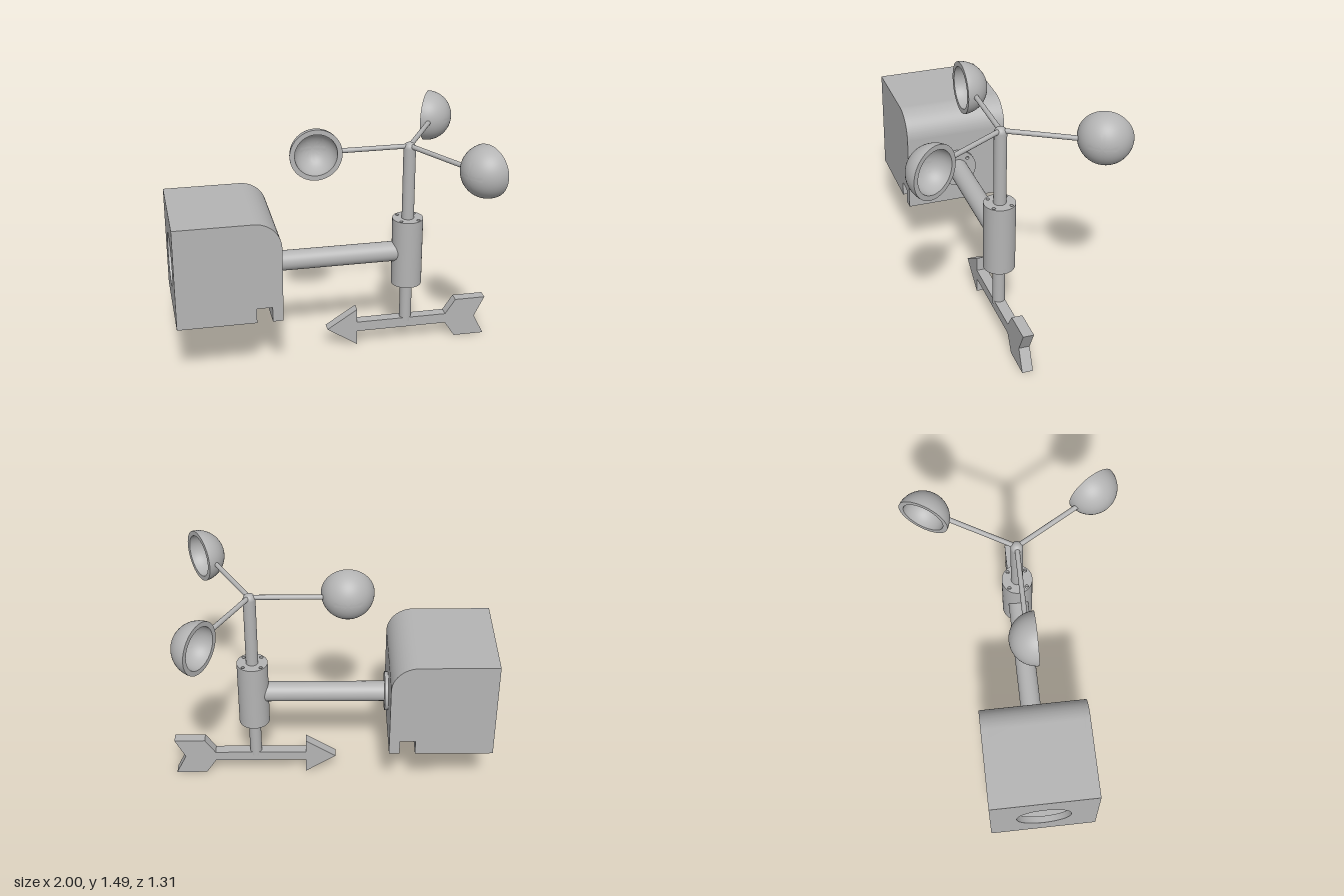
import * as THREE from 'three';
import { toCreasedNormals } from 'three/addons/utils/BufferGeometryUtils.js';

export function createModel() {
  const model = new THREE.Group();
  model.name = 'windStation';
  const grey = new THREE.MeshStandardMaterial({ color: 0xb4b4b4 });
  grey.name = 'grey';
  const station = new THREE.Group();
  station.name = 'station';
  station.position.z = 0.014;
  model.add(station);

  const add = (name, geometry, x = 0, y = 0, z = 0, parent = station) => {
    const mesh = new THREE.Mesh(geometry, grey);
    mesh.name = name;
    mesh.position.set(x, y, z);
    parent.add(mesh);
    return mesh;
  };
  const extrude = (shape, depth) => toCreasedNormals(
    new THREE.ExtrudeGeometry(shape, { depth, bevelEnabled: false, curveSegments: 24 }), 0.5);
  const polygon = (pts) => new THREE.Shape(pts.map(([x, y]) => new THREE.Vector2(x, y)));
  const circleHole = (x, y, r) => new THREE.Path().absarc(x, y, r, 0, Math.PI * 2, true);

  // Disc with four diagonal bolt holes, from z = 0 to depth
  const boltedDisc = (radius, boltCircle, depth) => {
    const shape = new THREE.Shape().absarc(0, 0, radius, 0, Math.PI * 2, false);
    for (let i = 0; i < 4; i++) {
      const a = Math.PI / 4 + i * Math.PI / 2;
      shape.holes.push(circleHole(boltCircle * Math.cos(a), boltCircle * Math.sin(a), 0.011));
    }
    return extrude(shape, depth);
  };

  // Housing: hollow box with a rounded top edge and a groove below
  const wall = 0.04, half = 0.323, left = -1 + wall, right = -0.36, low = 0.39, high = 1.035;
  const outline = () => {
    const s = polygon([[left, low], [-0.52, low], [-0.52, 0.485], [-0.425, 0.485], [-0.425, low], [right, low]]);
    s.lineTo(right, high - 0.165);
    s.absarc(right - 0.165, high - 0.165, 0.165, 0, Math.PI / 2, false);
    s.lineTo(left, high);
    return s;
  };
  const shell = outline();
  shell.lineTo(left, high - wall);
  shell.lineTo(right - 0.165, high - wall);
  shell.absarc(right - 0.165, high - 0.165, 0.125, Math.PI / 2, 0, true);
  shell.lineTo(right - wall, 0.525);
  shell.lineTo(left, 0.525);
  add('housingShell', extrude(shell, 2 * (half - wall)), 0, 0, wall - half);
  for (const z of [-half, half - wall]) add('housingSide', extrude(outline(), wall), 0, 0, z);
  const panel = polygon([[-half, low], [half, low], [half, high], [-half, high]]);
  panel.holes.push(circleHole(0, 0.705, 0.165));
  add('housingEndPanel', extrude(panel, wall).rotateY(Math.PI / 2), -1);

  // Horizontal arm and its mounting flange
  add('mountFlange', boltedDisc(0.122, 0.092, 0.022).rotateY(Math.PI / 2), right, 0.633);
  add('supportArm', new THREE.CylinderGeometry(0.063, 0.063, 0.76, 40).rotateZ(Math.PI / 2), 0.04, 0.633);

  // Everything around the vertical axis
  const axis = new THREE.Group();
  axis.name = 'verticalAxis';
  axis.position.x = 0.48;
  station.add(axis);

  // Bearing sleeve with bolt holes in both ends
  const cap = 0.03;
  add('bearingSleeve', new THREE.CylinderGeometry(0.096, 0.096, 0.445 - 2 * cap, 48), 0, 0.6325, 0, axis);
  for (const y of [0.41, 0.855 - cap]) {
    add('bearingCap', boltedDisc(0.096, 0.077, cap).rotateX(-Math.PI / 2), 0, y, 0, axis);
  }

  // Shaft with a domed tip
  add('shaft', new THREE.CylinderGeometry(0.038, 0.038, 1.175, 32), 0, 0.7275, 0, axis);
  add('shaftTip', new THREE.SphereGeometry(0.038, 32, 12, 0, Math.PI * 2, 0, Math.PI / 2), 0, 1.315, 0, axis);

  // Wind cups: thick hemispheres opening sideways
  const profile = [];
  for (let i = 0; i <= 16; i++) {
    const a = i / 16 * Math.PI / 2;
    profile.push(new THREE.Vector2(0.16 * Math.sin(a), -0.16 * Math.cos(a)));
  }
  for (let i = 16; i >= 0; i--) {
    const a = i / 16 * Math.PI / 2;
    profile.push(new THREE.Vector2(0.13 * Math.sin(a), -0.13 * Math.cos(a)));
  }
  const cupGeometry = toCreasedNormals(new THREE.LatheGeometry(profile, 48).rotateX(Math.PI / 2), 0.6);
  const rodGeometry = new THREE.CylinderGeometry(0.015, 0.015, 0.445, 20).rotateZ(Math.PI / 2);
  for (let i = 0; i < 3; i++) {
    const spoke = new THREE.Group();
    spoke.name = 'cupSpoke';
    spoke.position.y = 1.328;
    spoke.rotation.y = i * Math.PI * 2 / 3;
    axis.add(spoke);
    add('cupRod', rodGeometry, -0.2225, 0, 0, spoke);
    add('windCup', cupGeometry, -0.585, 0, 0.05, spoke);
  }

  // Direction arrow
  const arrow = polygon([
    [-0.035, 0.132], [0.157, 0.006], [0.157, 0.1], [0.74, 0.1], [0.805, 0], [1, 0],
    [0.935, 0.132], [1, 0.262], [0.805, 0.262], [0.74, 0.165], [0.157, 0.165], [0.157, 0.257],
  ]);
  add('directionArrow', extrude(arrow, 0.066), 0, 0, -0.033);

  return model;
}
